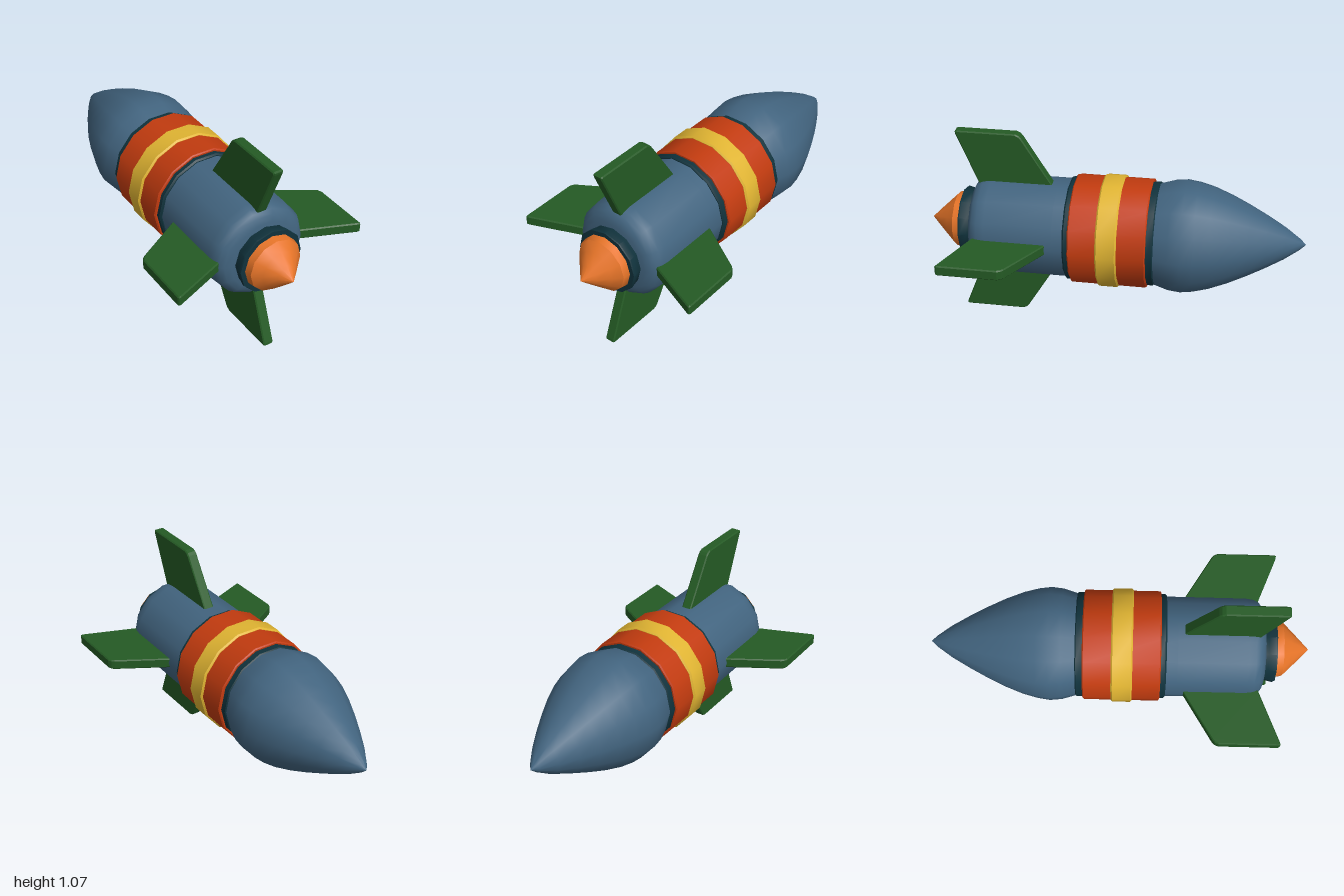
import * as THREE from 'three';
import { toCreasedNormals } from 'three/addons/utils/BufferGeometryUtils.js';

const AXIS_Y = 0.535; // height of the rocket's long axis

function material(name, color) {
  const m = new THREE.MeshStandardMaterial({ color });
  m.name = name;
  return m;
}

// Surface turned around the z axis; the profile is [radius, z] with z increasing
function turned(name, profile, sides, mat) {
  const points = profile.map(([r, z]) => new THREE.Vector2(r, z));
  const geo = new THREE.LatheGeometry(points, sides, Math.PI / 2).rotateX(Math.PI / 2);
  const mesh = new THREE.Mesh(toCreasedNormals(geo, 0.62), mat);
  mesh.name = name;
  return mesh;
}

// Band with chamfered rims, closed down to the hull
function band(name, radius, z0, z1, bevel, mat) {
  return turned(name, [
    [0.24, z0], [radius - bevel, z0], [radius, z0 + bevel],
    [radius, z1 - bevel], [radius - bevel, z1], [0.24, z1],
  ], 14, mat);
}

export function createModel() {
  const blue = material('slate blue', 0x42647f);
  const dark = material('dark teal', 0x10323c);
  const red = material('rust red', 0xc23b0f);
  const yellow = material('golden yellow', 0xe0b432);
  const green = material('fin green', 0x245a24);
  const orange = material('flame orange', 0xe67428);

  const model = new THREE.Group();
  model.name = 'rocket';
  const rocket = new THREE.Group();
  rocket.name = 'hull';
  rocket.position.y = AXIS_Y;
  model.add(rocket);

  // Pointed nose bulging out and tucking in at the collar
  rocket.add(turned('nose', [
    [0, -1], [0.03, -0.968], [0.085, -0.89], [0.14, -0.795], [0.19, -0.7], [0.235, -0.605],
    [0.272, -0.51], [0.293, -0.43], [0.302, -0.365], [0.295, -0.3], [0.272, -0.225], [0.265, -0.2],
  ], 14, blue));

  // Cylindrical body with rounded rear shoulder
  rocket.add(turned('body', [
    [0.265, -0.2], [0.265, 0.3], [0.264, 0.66], [0.258, 0.7],
    [0.245, 0.728], [0.222, 0.745], [0.19, 0.757], [0.1, 0.76],
  ], 14, blue));

  // Middle bands
  rocket.add(band('rearCollar', 0.278, 0.2, 0.243, 0.008, dark));
  rocket.add(band('frontCollar', 0.278, -0.23, -0.18, 0.008, dark));
  rocket.add(band('redBand', 0.292, -0.19, 0.214, 0.006, red));
  rocket.add(band('yellowBand', 0.302, -0.042, 0.069, 0.008, yellow));

  // Exhaust nozzle and flame
  rocket.add(turned('nozzle', [
    [0.165, 0.74], [0.17, 0.775], [0.179, 0.812], [0.177, 0.818], [0.12, 0.818],
  ], 12, dark));
  rocket.add(turned('flame', [
    [0.153, 0.81], [0.15, 0.83], [0.146, 0.856], [0.105, 0.897], [0.055, 0.947], [0, 1],
  ], 12, orange));

  // Four swept fins: outline in (radius, z), extruded across the fin thickness
  const outline = [
    [0.238, 0.725], [0.238, 0.322], [0.513, 0.488], [0.526, 0.5],
    [0.535, 0.52], [0.535, 0.828], [0.53, 0.838], [0.518, 0.836],
  ];
  const shape = new THREE.Shape(outline.map(([r, z]) => new THREE.Vector2(r, z)).reverse());
  const bevel = 0.006;
  const finGeo = new THREE.ExtrudeGeometry(shape, {
    depth: 0.056 - 2 * bevel, bevelEnabled: true, bevelThickness: bevel,
    bevelSize: bevel, bevelOffset: -bevel, bevelSegments: 1,
  });
  finGeo.translate(0, 0, bevel - 0.028).rotateX(Math.PI / 2);
  ['leftFin', 'topFin', 'rightFin', 'bottomFin'].forEach((name, i) => {
    const fin = new THREE.Mesh(finGeo, green);
    fin.name = name;
    fin.rotation.z = i * Math.PI / 2;
    rocket.add(fin);
  });

  return model;
}
